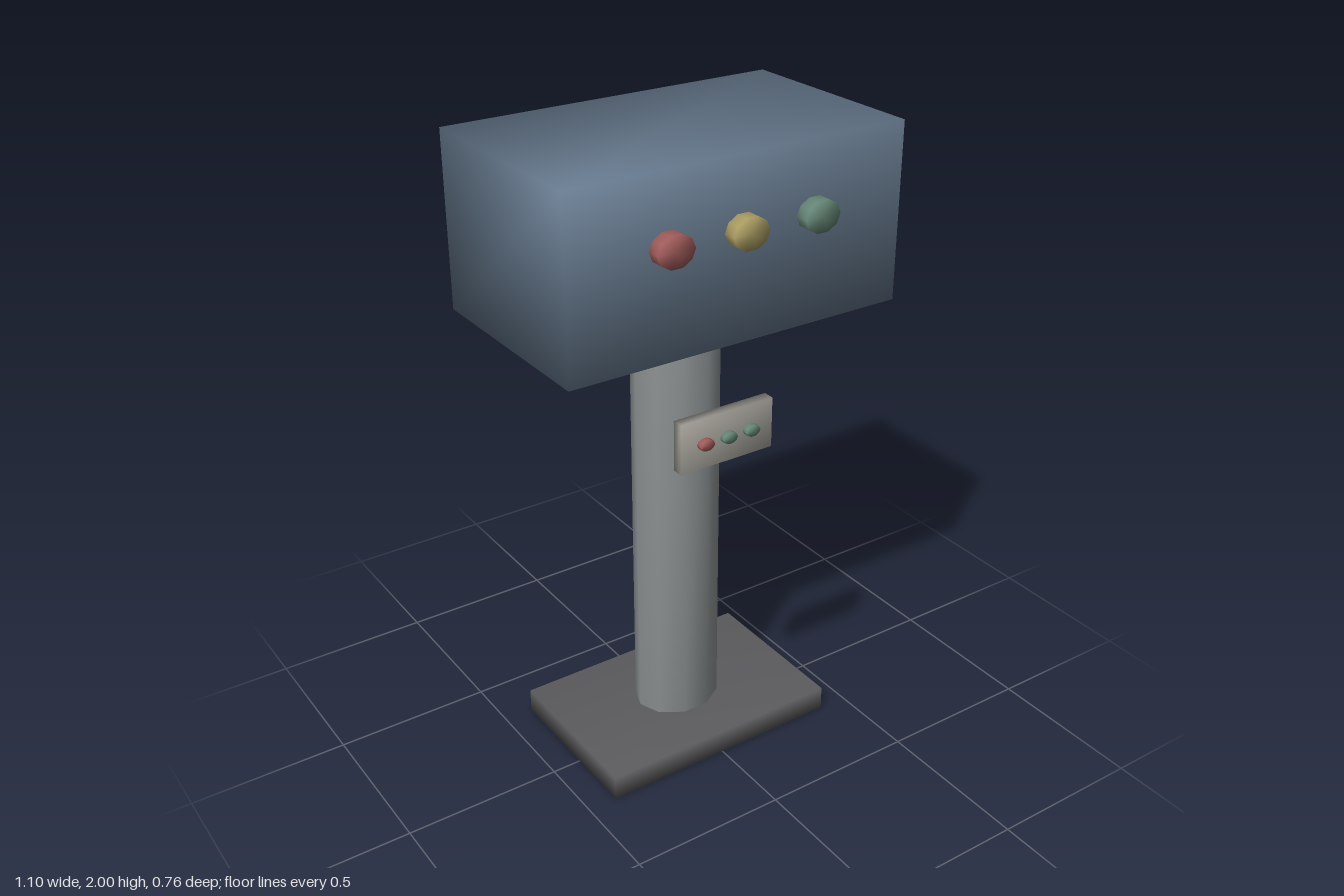
import * as THREE from 'three';
import { mergeVertices } from 'three/addons/utils/BufferGeometryUtils.js';

// Weld corners so the shading runs softly across every edge
function weld(geometry) {
  geometry.deleteAttribute('normal');
  geometry.deleteAttribute('uv');
  const welded = mergeVertices(geometry, 1e-4);
  welded.computeVertexNormals();
  return welded;
}

export function createModel() {
  const group = new THREE.Group();
  const material = (color) => new THREE.MeshStandardMaterial({ color });
  const blue = material(0x65788c), steel = material(0x8b9090), dark = material(0x5c5c5e);
  const pale = material(0xa6a39b), red = material(0xa05c5a), yellow = material(0xaa9c62), green = material(0x668676);

  function add(name, geometry, mat, x, y, z) {
    const mesh = new THREE.Mesh(weld(geometry), mat);
    mesh.name = name;
    mesh.position.set(x, y, z);
    group.add(mesh);
  }

  // Ten-sided oval cylinder, with corners at its left and right ends
  function oval(rx, halfDepth, height) {
    const geometry = new THREE.CylinderGeometry(1, 1, height, 10, 1, false, Math.PI / 2);
    return geometry.scale(rx, 1, halfDepth / Math.sin(Math.PI * 0.4));
  }
  const button = (rx, ry, depth) => oval(rx, ry, depth).rotateX(Math.PI / 2);

  // Stand and cabinet
  add('base', new THREE.BoxGeometry(0.81, 0.08, 0.535), dark, 0, 0.04, -0.05);
  add('post', oval(0.141, 0.115, 1.4), steel, 0, 0.775, -0.05);
  add('cabinet', new THREE.BoxGeometry(1.096, 0.535, 0.655), blue, 0, 1.7325, -0.0525);

  // Row of large lamps on the cabinet
  [red, yellow, green].forEach((mat, i) => {
    add('lamp' + (i + 1), button(0.059, 0.046, 0.06), mat, (i - 1) * 0.239, 1.792, 0.287);
  });

  // Floating control panel with small buttons
  add('controlPanel', new THREE.BoxGeometry(0.306, 0.152, 0.035), pale, -0.103, 1.241, 0.342);
  [red, green, green].forEach((mat, i) => {
    add('panelButton' + (i + 1), button(0.024, 0.016, 0.028), mat, -0.103 + (i - 1) * 0.0765, 1.242, 0.363);
  });

  return group;
}
